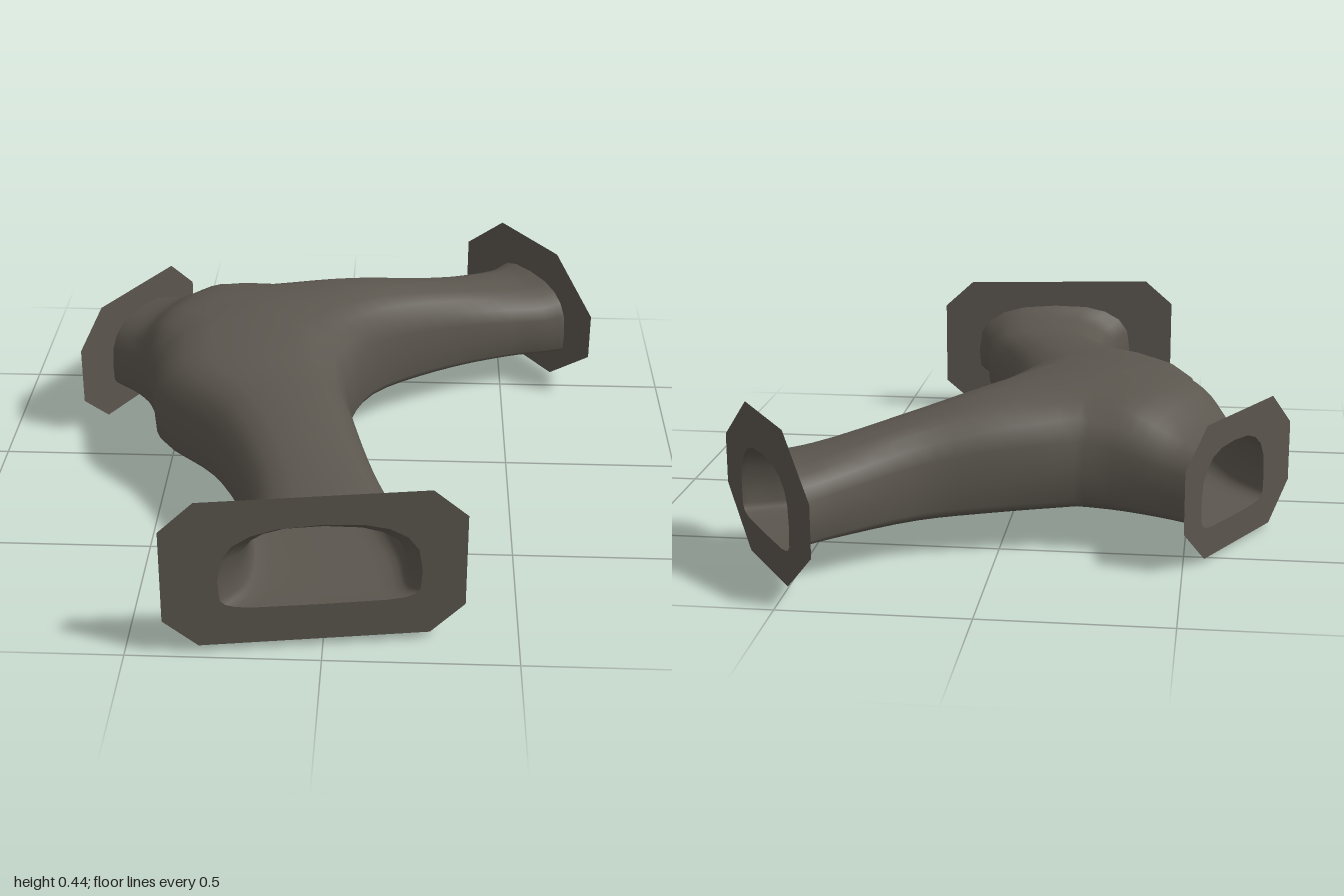
import * as THREE from 'three';
import { mergeGeometries, mergeVertices } from 'three/addons/utils/BufferGeometryUtils.js';

const STEPS = 4; // subdivisions between key rings
const HALF = 10; // section segments from floor centre to roof centre
const FLOOR = 0.1, ROOF = 0.43; // heights at the junction

// Passage section as [side, height]: nearly square below, arched above
const section = Array.from({ length: 2 * HALF }, (_, i) => {
  const k = i <= HALF ? i : 2 * HALF - i;
  const angle = Math.PI * (k / HALF - 0.5);
  const power = k < HALF / 2 ? 0.35 : 0.75;
  const side = Math.cos(angle) ** power, rise = Math.abs(Math.sin(angle)) ** power;
  const height = k < HALF / 2 ? 0.35 * (1 - rise) : 0.35 + 0.65 * rise;
  return [i <= HALF ? side : -side, height];
});

// Junction: centre and the three wall points where neighbouring arms meet, as x, z
const centre = new THREE.Vector2(-0.25, -0.15);
const leftCrotch = new THREE.Vector2(0.03, 0.05);
const backCrotch = new THREE.Vector2(-0.2, -0.49);
const rightCrotch = new THREE.Vector2(-0.55, 0);

// Points of one ring, bent at the middle for the junction seams
function ring(a, b, floor, roof, middle) {
  return section.map(([s, h]) => {
    const p = middle.clone().lerp(s >= 0 ? a : b, Math.abs(s));
    return new THREE.Vector3(p.x, floor + h * (roof - floor), p.y);
  });
}

// Smooth skin through the key rings of one arm
function armGeometry(keys) {
  const n = section.length, rows = (keys.length - 1) * STEPS;
  const curves = section.map((_, j) => new THREE.CatmullRomCurve3(keys.map((k) => k[j])));
  const positions = [], index = [];
  for (let i = 0; i <= rows; i++) {
    for (const curve of curves) positions.push(...curve.getPoint(i / rows).toArray());
  }
  for (let i = 0; i < rows; i++) {
    for (let j = 0; j < n; j++) {
      const a = i * n + j, b = i * n + (j + 1) % n;
      index.push(a, a + n, b, b, a + n, b + n);
    }
  }
  const geometry = new THREE.BufferGeometry();
  geometry.setAttribute('position', new THREE.Float32BufferAttribute(positions, 3));
  geometry.setIndex(index);
  return geometry;
}

// Flat eight-sided collar around a mouth, with the mouth cut out
function collarGeometry(mouth, a, b, { halfWidth: w, bottom, top, cutX, cutY, shift }) {
  const up = new THREE.Vector3(0, 1, 0);
  const u = new THREE.Vector3(b.x - a.x, 0, b.y - a.y).normalize();
  const origin = new THREE.Vector3((a.x + b.x) / 2, 0, (a.y + b.y) / 2).addScaledVector(u, shift);
  const middle = (bottom + top) / 2, h = (top - bottom) / 2;
  const outline = [];
  for (const [sx, sy] of [[1, 1], [-1, 1], [-1, -1], [1, -1]]) {
    const corner = [
      new THREE.Vector2(sx * w, middle + sy * (h - cutY)),
      new THREE.Vector2(sx * (w - cutX), middle + sy * h),
    ];
    outline.push(...(sx * sy > 0 ? corner : corner.reverse()));
  }
  const shape = new THREE.Shape(outline);
  shape.holes.push(new THREE.Path(
    mouth.map((v) => new THREE.Vector2(v.clone().sub(origin).dot(u), v.y))));
  const frame = new THREE.Matrix4()
    .makeBasis(u, up, new THREE.Vector3().crossVectors(u, up)).setPosition(origin);
  return new THREE.ShapeGeometry(shape).applyMatrix4(frame);
}

// One arm from the junction to its mouth; stations are [x1, z1, x2, z2, roof]
function buildArm(crotchA, crotchB, mouthFloor, stations, collar) {
  const keys = [ring(crotchA, crotchB, FLOOR, ROOF, centre)];
  let a, b;
  stations.forEach(([x1, z1, x2, z2, roof], i) => {
    a = new THREE.Vector2(x1, z1);
    b = new THREE.Vector2(x2, z2);
    const floor = THREE.MathUtils.lerp(FLOOR, mouthFloor, i / (stations.length - 1));
    keys.push(ring(a, b, floor, roof, a.clone().lerp(b, 0.5)));
  });
  return { walls: armGeometry(keys), collar: collarGeometry(keys.at(-1), a, b, collar) };
}

export function createModel() {
  const model = new THREE.Group();
  model.name = 'branchingTunnel';
  const rock = new THREE.MeshStandardMaterial({ color: 0x5b564e });
  rock.name = 'darkRock';
  rock.side = THREE.DoubleSide;

  const add = (name, geometry) => {
    const mesh = new THREE.Mesh(geometry, rock);
    mesh.name = name;
    model.add(mesh);
  };

  // Long front arm
  const front = buildArm(rightCrotch, leftCrotch, 0.125, [
    [-0.52, 0.13, 0.035, 0.12, 0.405],
    [-0.35, 0.32, 0.06, 0.26, 0.385],
    [-0.23, 0.57, 0.12, 0.5, 0.352],
    [-0.2, 0.72, 0.195, 0.73, 0.328],
    [-0.21, 0.88, 0.22, 0.87, 0.325],
    [-0.26, 0.97, 0.25, 0.896, 0.36],
  ], { halfWidth: 0.385, bottom: 0.02, top: 0.443, cutX: 0.09, cutY: 0.08, shift: -0.015 });

  // Arm to the back left
  const left = buildArm(leftCrotch, backCrotch, 0.09, [
    [0.1, -0.18, 0, -0.54, 0.405],
    [0.3, -0.36, 0.2, -0.61, 0.36],
    [0.53, -0.48, 0.39, -0.765, 0.31],
    [0.64, -0.515, 0.455, -0.83, 0.3],
    [0.7, -0.538, 0.488, -0.865, 0.31],
  ], { halfWidth: 0.34, bottom: 0, top: 0.42, cutX: 0.19, cutY: 0.14, shift: 0.017 });

  // Short arm to the back right
  const right = buildArm(backCrotch, rightCrotch, 0.09, [
    [-0.3, -0.49, -0.58, -0.08, 0.405],
    [-0.44, -0.52, -0.63, -0.17, 0.34],
    [-0.545, -0.558, -0.71, -0.257, 0.305],
  ], { halfWidth: 0.29, bottom: 0.01, top: 0.38, cutX: 0.11, cutY: 0.1, shift: 0.03 });

  // Arms welded along their seams into one smooth skin
  const skin = mergeVertices(mergeGeometries([front.walls, left.walls, right.walls]), 1e-4);
  skin.computeVertexNormals();
  add('tunnelWalls', skin);

  add('frontCollar', front.collar);
  add('leftCollar', left.collar);
  add('rightCollar', right.collar);
  return model;
}
